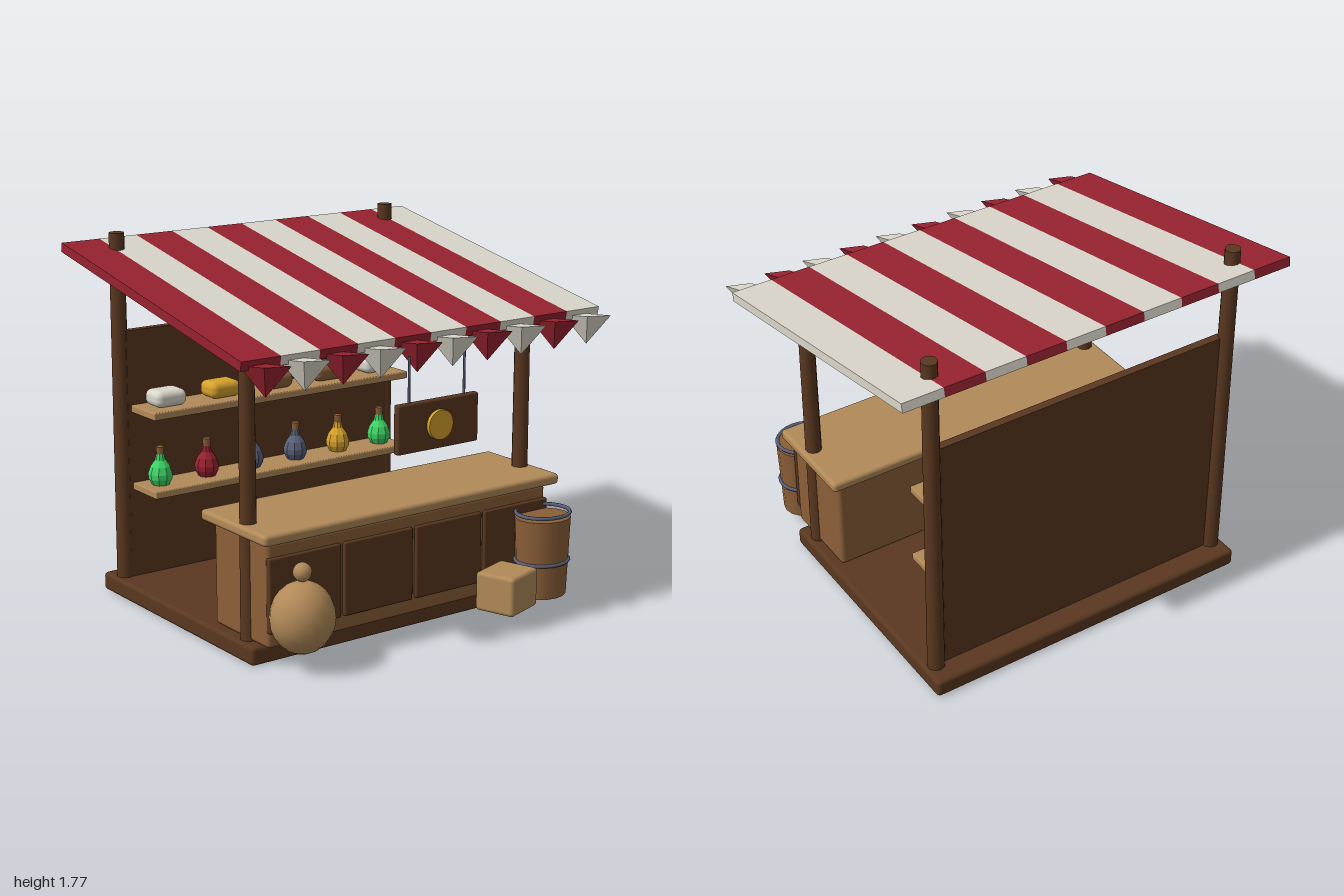
import * as THREE from 'three';
import { RoundedBoxGeometry } from 'three/addons/geometries/RoundedBoxGeometry.js';

const mat = (name, color) => Object.assign(new THREE.MeshStandardMaterial({ color }), { name });

export function createModel() {
  const M = {
    dark: mat('darkWood', 0x5a3820),
    mid: mat('midWood', 0x8b5f38),
    tan: mat('paleWood', 0xb28a59),
    red: mat('red', 0x97222f),
    white: mat('canvasWhite', 0xdad6ca),
    slate: mat('slate', 0x59607a),
    green: mat('green', 0x3fd668),
    gold: mat('gold', 0xd6a12c),
  };
  const root = new THREE.Group();
  root.name = 'marketStall';

  const add = (name, geo, material, x, y, z, parent = root) => {
    const mesh = new THREE.Mesh(geo, material);
    mesh.name = name;
    mesh.position.set(x, y, z);
    parent.add(mesh);
    return mesh;
  };
  const group = (name, x, y, z) => {
    const g = new THREE.Group();
    g.name = name;
    g.position.set(x, y, z);
    root.add(g);
    return g;
  };
  const rbox = (w, h, d, r = 0.01) => new RoundedBoxGeometry(w, h, d, 2, r);
  const faceted = (geo) => {
    const g = geo.toNonIndexed();
    g.computeVertexNormals();
    return g;
  };
  const lathe = (pts, n) => new THREE.LatheGeometry(pts.map(([r, y]) => new THREE.Vector2(r, y)), n);

  // Platform, corner posts and back wall
  add('platform', rbox(1.69, 0.09, 1.305, 0.02), M.dark, 0, 0.045, -0.167);
  for (const x of [-0.785, 0.785]) {
    add('frontPost', new THREE.CylinderGeometry(0.037, 0.041, 1.3, 10), M.dark, x, 0.735, 0.375);
    add('backPost', new THREE.CylinderGeometry(0.037, 0.042, 1.69, 10), M.dark, x, 0.925, -0.707);
  }
  add('backWall', new THREE.BoxGeometry(1.54, 1.22, 0.04), M.dark, 0, 0.695, -0.69);

  // Striped sloping awning
  const awning = group('awning', 0, 1.555, -0.093);
  awning.rotation.x = 0.193;
  for (let i = 0; i < 10; i++) {
    add('awningStripe', new THREE.BoxGeometry(0.2, 0.044, 1.535), i % 2 ? M.white : M.red, -0.9 + i * 0.2, 0, 0, awning);
  }

  // Pennants: flattened four-sided cones, tip down, turned at an angle
  const pennantGeo = faceted(new THREE.ConeGeometry(0.11, 0.135, 4)
    .rotateX(Math.PI).scale(1, 1, 0.36).rotateY(-0.7));
  for (let i = 0; i < 10; i++) {
    add('pennant', pennantGeo, i % 2 ? M.white : M.red, -0.9 + i * 0.2, 1.337, 0.692);
  }

  // Counter with four front panels
  add('counterBody', rbox(1.6, 0.485, 0.425, 0.02), M.mid, 0, 0.333, 0.333);
  add('counterTop', rbox(1.69, 0.052, 0.52, 0.018), M.tan, 0, 0.603, 0.335);
  for (let i = 0; i < 4; i++) {
    add('counterPanel', rbox(0.386, 0.345, 0.03, 0.008), M.dark, -0.608 + i * 0.405, 0.337, 0.548);
  }

  // Shelves on the back wall
  for (const y of [0.542, 0.925]) {
    add('shelf', rbox(1.5, 0.036, 0.22, 0.006), M.tan, 0, y, -0.57);
  }

  // Bottles on the lower shelf
  const bottleGeo = faceted(lathe([[0, 0], [0.042, 0], [0.058, 0.03], [0.06, 0.055], [0.048, 0.09],
    [0.026, 0.12], [0.02, 0.15], [0, 0.15]], 9));
  const corkGeo = new THREE.CylinderGeometry(0.021, 0.019, 0.045, 8);
  ['green', 'red', 'slate', 'slate', 'gold', 'green'].forEach((c, i) => {
    const bottle = group('bottle', -0.655 + i * 0.262, 0.56, -0.575);
    add('bottleGlass', bottleGeo, M[c], 0, 0, 0, bottle);
    add('cork', corkGeo, M.mid, 0, 0.164, 0, bottle);
  });

  // Goods on the upper shelf
  ['white', 'gold', 'mid', 'mid', 'white'].forEach((c, i) => {
    add('loaf', new RoundedBoxGeometry(0.168, 0.08, 0.135, 3, 0.032), M[c], -0.615 + i * 0.3075, 0.985, -0.576);
  });

  // Hanging sign with a round emblem
  add('sign', rbox(0.455, 0.226, 0.035, 0.01), M.dark, 0, 1.028, 0.706);
  add('signDisc', new THREE.CylinderGeometry(0.068, 0.068, 0.02, 20).rotateX(Math.PI / 2), M.gold, 0, 1.027, 0.732);
  for (const x of [-0.155, 0.155]) {
    add('signWire', new THREE.CylinderGeometry(0.006, 0.006, 0.22, 6), M.slate, x, 1.24, 0.706);
  }

  // Barrel with two hoops
  const barrel = group('barrel', 0.695, 0, 0.65);
  barrel.scale.x = 1.11;
  add('barrelBody', new THREE.CylinderGeometry(0.125, 0.111, 0.38, 16), M.mid, 0, 0.27, 0, barrel);
  for (const [y, r] of [[0.481, 0.12], [0.248, 0.119]]) {
    add('barrelHoop', new THREE.TorusGeometry(r, 0.009, 6, 24).rotateX(Math.PI / 2), M.slate, 0, y, 0, barrel);
  }

  // Tied sack
  const sack = group('sack', -0.68, 0.08, 0.638);
  add('sackBody', new THREE.SphereGeometry(0.15, 18, 12).scale(1, 1.1, 0.95), M.tan, 0, 0.165, 0, sack);
  add('sackKnot', new THREE.SphereGeometry(0.043, 12, 8), M.tan, 0, 0.372, 0, sack);

  // Turned crate
  const crate = add('crate', rbox(0.225, 0.187, 0.205, 0.018), M.tan, 0.42, 0.173, 0.718);
  crate.rotation.y = 0.32;

  return root;
}
